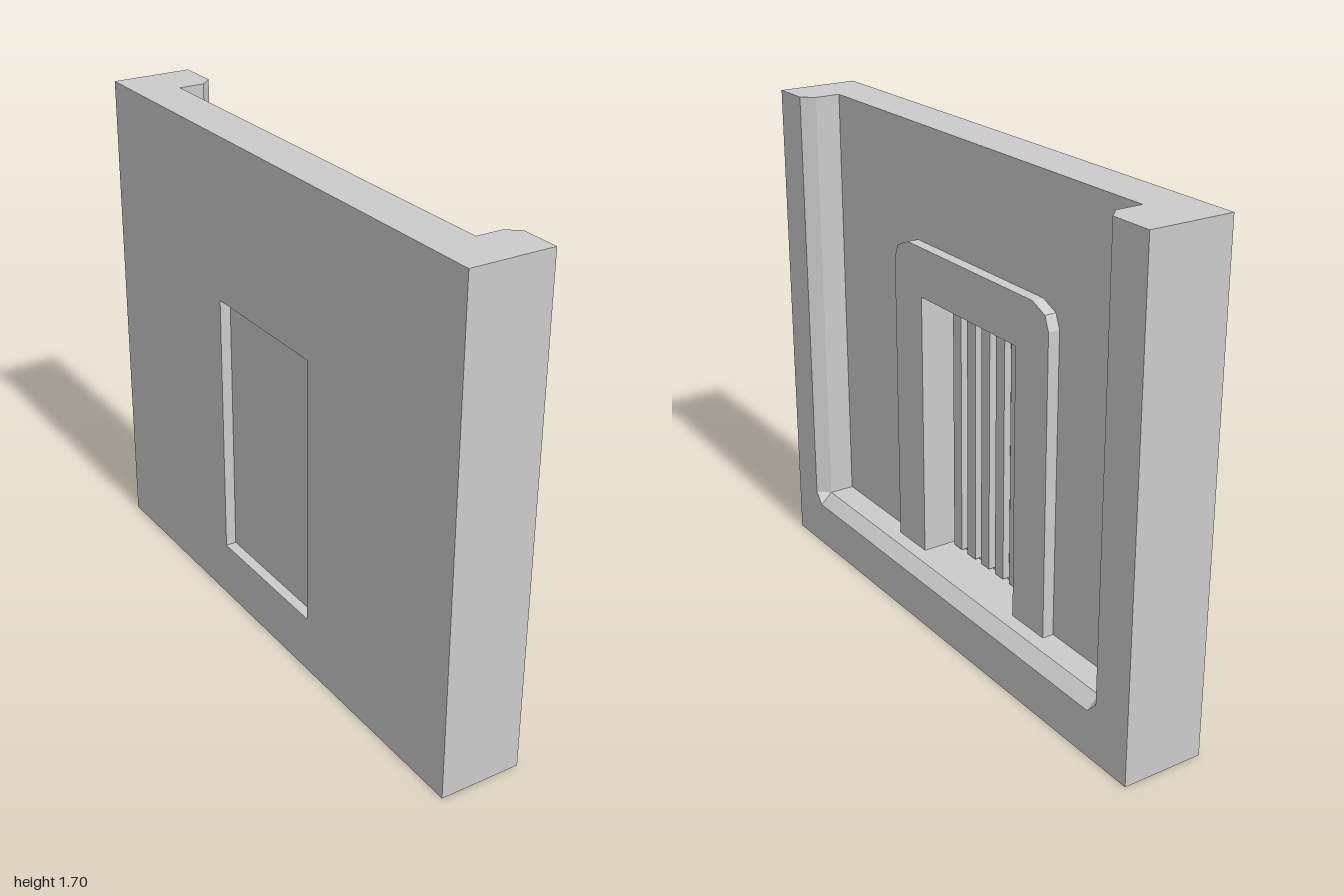
import * as THREE from 'three';

const material = new THREE.MeshStandardMaterial({ color: 0xcccccc, flatShading: true });
const X_BACK = -0.1425, X_FACE = 0.01, X_BEVEL = 0.1, X_FRONT = 0.1425;
const TOP = 1.7, FLOOR = 0.2;
const DOOR = { z0: -0.29, z1: 0.245, top: 1.14 };

// Outlines are given as [z, y] and extruded along x.
const toPoints = (pts) => pts.map(([z, y]) => new THREE.Vector2(-z, y));

function slab(name, outline, x0, x1, hole, moveVertex) {
  const shape = new THREE.Shape(toPoints(outline));
  if (hole) shape.holes.push(new THREE.Path(toPoints(hole)));
  const geo = new THREE.ExtrudeGeometry(shape, { depth: x1 - x0, bevelEnabled: false });
  geo.rotateY(Math.PI / 2).translate(x0, 0, 0);
  if (moveVertex) {
    const pos = geo.attributes.position;
    const v = new THREE.Vector3();
    for (let i = 0; i < pos.count; i++) {
      moveVertex(v.fromBufferAttribute(pos, i));
      pos.setXYZ(i, v.x, v.y, v.z);
    }
    geo.computeVertexNormals();
  }
  const mesh = new THREE.Mesh(geo, material);
  mesh.name = name;
  return mesh;
}

function box(name, x0, x1, y0, y1, z0, z1) {
  const mesh = new THREE.Mesh(new THREE.BoxGeometry(x1 - x0, y1 - y0, z1 - z0), material);
  mesh.position.set((x0 + x1) / 2, (y0 + y1) / 2, (z0 + z1) / 2);
  mesh.name = name;
  return mesh;
}

export function createModel() {
  const model = new THREE.Group();
  model.name = 'wallWithDoor';

  // Back wall with the doorway cut through
  model.add(slab('wall', [[-1, 0], [1, 0], [1, TOP], [-1, TOP]], X_BACK, X_FACE,
    [[DOOR.z0, FLOOR], [DOOR.z0, DOOR.top], [DOOR.z1, DOOR.top], [DOOR.z1, FLOOR]]));

  // Raised U-shaped border: two posts and a sill
  const rim = (inner) => [[-1, TOP], [-1, 0], [1, 0], [1, TOP], ...inner];
  model.add(slab('border', rim([[0.83, TOP], [0.83, FLOOR], [-0.81, FLOOR], [-0.81, TOP]]),
    X_FACE, X_BEVEL));

  // Front layer of the border, its inner edge bevelled outwards with cut corners
  model.add(slab('borderBevel', rim([[0.865, TOP], [0.865, FLOOR], [0.83, 0.16],
    [-0.81, 0.16], [-0.85, FLOOR], [-0.85, TOP]]), X_BEVEL, X_FRONT, null, (v) => {
    const isInner = Math.abs(v.z) < 0.95 && v.y > 0.1;
    if (isInner && v.x < X_BEVEL + 0.01) {
      v.z = THREE.MathUtils.clamp(v.z, -0.81, 0.83);
      v.y = Math.max(v.y, FLOOR);
    }
  }));

  // Door surround with faceted upper corners
  model.add(slab('doorFrame', [
    [0.41, FLOOR], [0.41, 1.235], [0.39, 1.283], [0.327, 1.31],
    [-0.374, 1.31], [-0.438, 1.283], [-0.457, 1.235], [-0.457, FLOOR],
    [DOOR.z0, FLOOR], [DOOR.z0, DOOR.top], [DOOR.z1, DOOR.top], [DOOR.z1, FLOOR],
  ], X_FACE, 0.05));

  // Door leaf with vertical slats
  const door = new THREE.Group();
  door.name = 'door';
  door.add(box('doorPanel', -0.105, -0.075, FLOOR, DOOR.top, DOOR.z0, 0.24));
  for (let i = 0; i < 6; i++) {
    const z = 0.185 - i * 0.084;
    door.add(box('doorSlat', -0.075, -0.05, 0.21, DOOR.top, z - 0.024, z + 0.024));
  }

  // Round knob
  const knob = new THREE.Mesh(new THREE.CylinderGeometry(0.027, 0.027, 0.06, 10), material);
  knob.name = 'doorKnob';
  knob.rotation.z = -Math.PI / 2;
  knob.position.set(-0.045, 0.62, -0.243);
  door.add(knob);
  model.add(door);

  return model;
}
